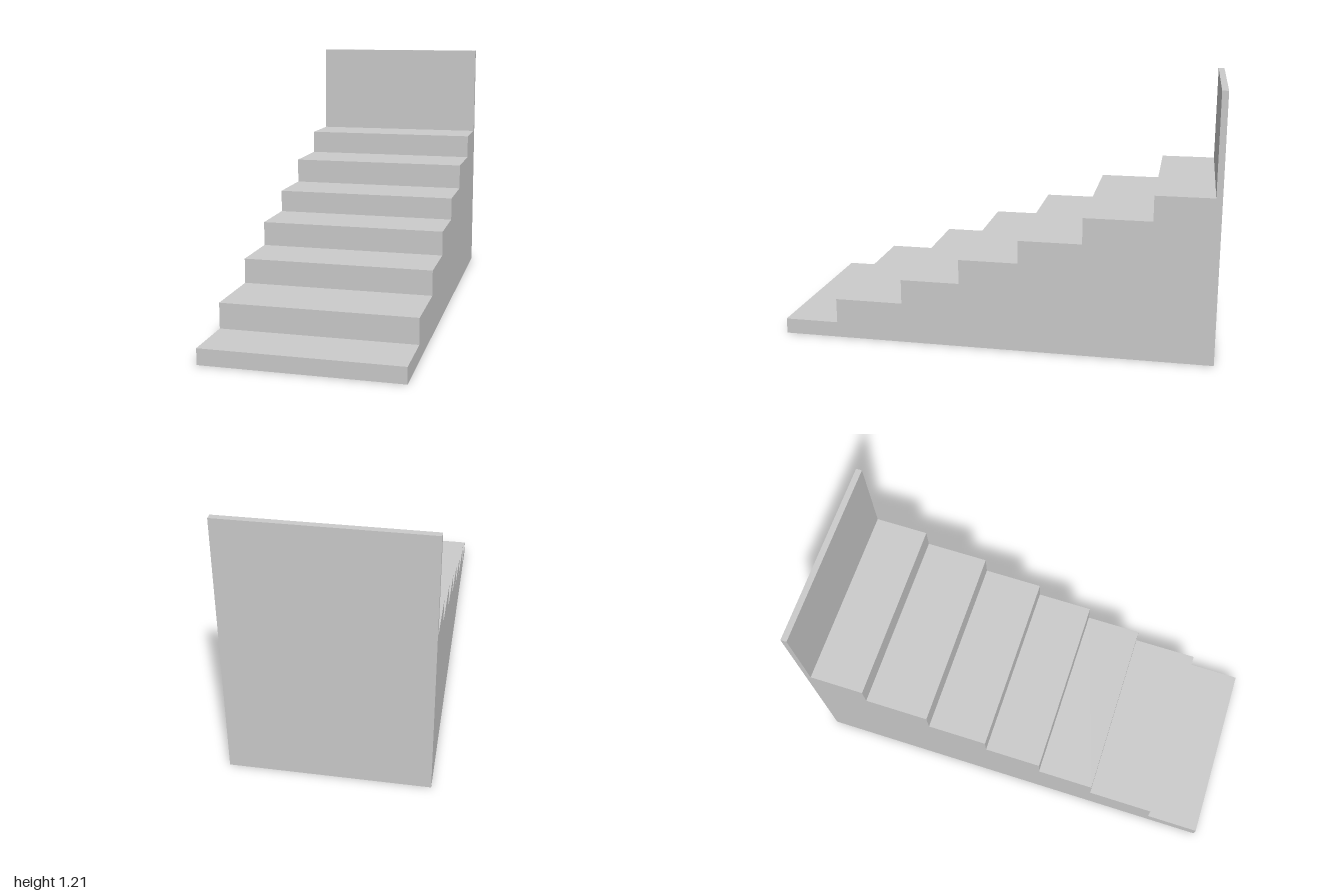
import * as THREE from 'three';

const WIDTH = 0.877;
const BACK = -1;

// Riser position (z) and tread height (y) of each step, bottom to top
const STEPS = [
  [1, 0.072], [0.745, 0.188], [0.426, 0.303], [0.152, 0.417],
  [-0.122, 0.523], [-0.409, 0.643], [-0.714, 0.758],
];
const WALL = [-0.972, 1.213];

export function createModel() {
  const group = new THREE.Group();
  group.name = 'staircase';

  // Side profile drawn as (z, y): floor, risers and treads, then the end wall
  const profile = new THREE.Shape();
  profile.moveTo(BACK, 0);
  profile.lineTo(STEPS[0][0], 0);
  let height = 0;
  for (const [z, y] of [...STEPS, WALL]) {
    if (height > 0) profile.lineTo(z, height);
    profile.lineTo(z, y);
    height = y;
  }
  profile.lineTo(BACK, height);
  profile.closePath();

  // Extrude across the width and turn the profile to run along z
  const geometry = new THREE.ExtrudeGeometry(profile, { depth: WIDTH, bevelEnabled: false });
  geometry.translate(0, 0, -WIDTH / 2);
  geometry.rotateY(-Math.PI / 2);

  const material = new THREE.MeshStandardMaterial({ color: 0xcccccc, flatShading: true });
  const stairs = new THREE.Mesh(geometry, material);
  stairs.name = 'stepsAndEndWall';
  group.add(stairs);
  return group;
}
